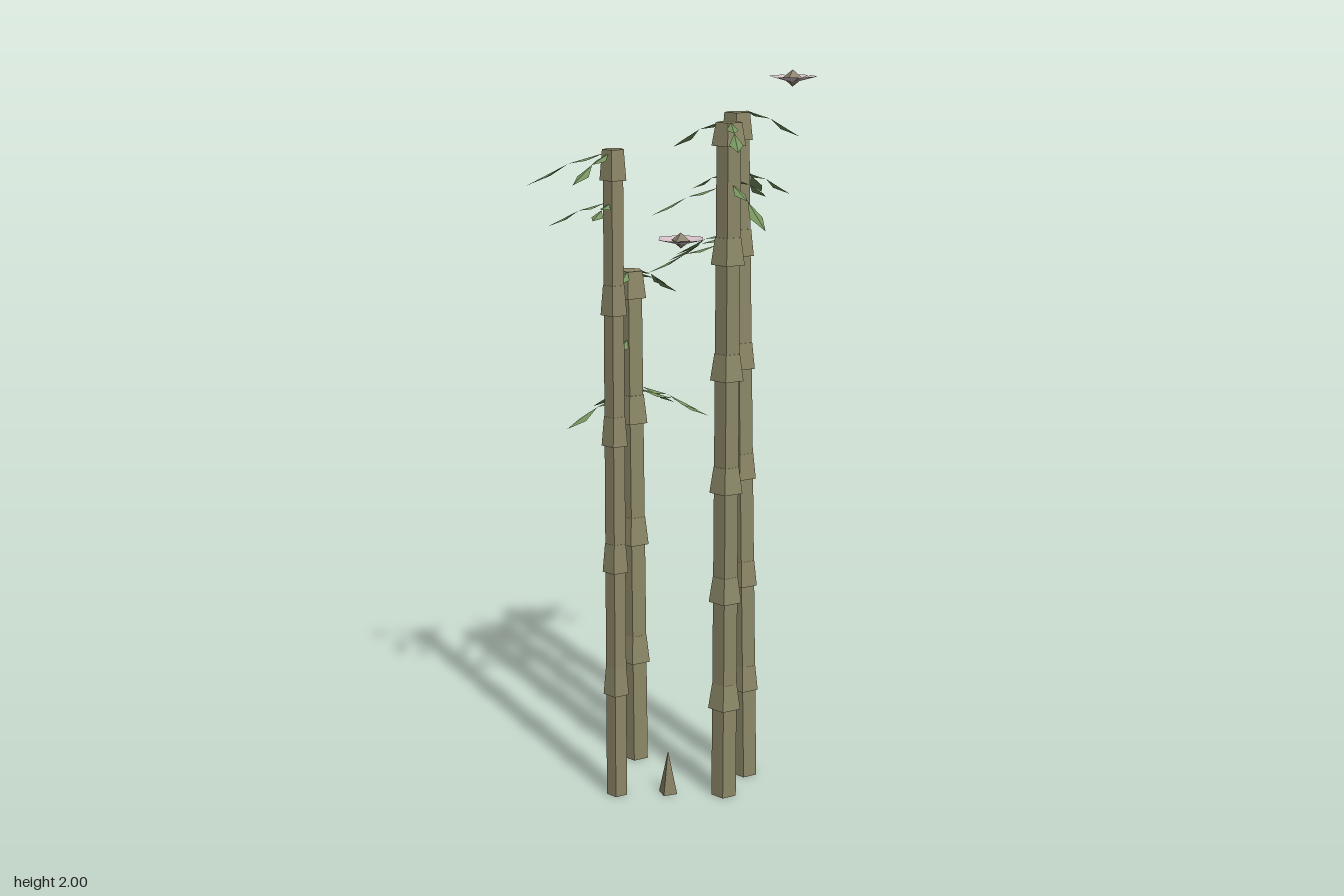
import * as THREE from 'three';

const mat = (color, side = THREE.FrontSide) => new THREE.MeshStandardMaterial({ color, side, flatShading: true });
const stalkMat = mat(0x8c8767);
const shootMat = mat(0x857f62);
const leafMat = mat(0x76935f, THREE.DoubleSide);
const petalMat = mat(0xd6c2c8, THREE.DoubleSide);
const coreMat = mat(0x8f8570);

const mesh = (name, geometry, material) => {
  const m = new THREE.Mesh(geometry, material);
  m.name = name;
  return m;
};

// Geometry from a list of triangle corners
const fromCorners = (corners) => {
  const g = new THREE.BufferGeometry().setFromPoints(corners);
  g.computeVertexNormals();
  return g;
};

// Drooping leaf: two creased diamonds joined at a narrow waist, growing along +x
function leaf(from, reach) {
  const drop = 0.42 * (reach - 0.02);
  const at = (t) => new THREE.Vector3(from + (reach - from) * t, -drop * t ** 1.4, 0);
  const corners = [];
  [[0, 0.46, 0.016], [0.46, 1, 0.018]].forEach(([t0, t1, halfWidth]) => {
    const a = at(t0), b = at(t1);
    const left = a.clone().lerp(b, 0.48);
    left.y -= 0.006;
    const right = left.clone();
    left.z -= halfWidth;
    right.z += halfWidth;
    corners.push(a, b, left, a, right, b);
  });
  return mesh('leaf', fromCorners(corners), leafMat);
}

// Five-sided cane with evenly spaced flared joints; lean shifts the top sideways
function cane(name, { x, z, r, flare, height, firstJoint, spacing, jointHeight, lean }, leaves) {
  const group = new THREE.Group();
  group.name = name;
  const part = (label, rTop, rBottom, y0, y1) => {
    const g = new THREE.CylinderGeometry(rTop, rBottom, y1 - y0, 5);
    g.rotateY(Math.PI / 2).translate(0, (y0 + y1) / 2, 0);
    const p = g.attributes.position;
    for (let i = 0; i < p.count; i++) p.setX(i, p.getX(i) + lean * p.getY(i) / height);
    g.computeVertexNormals();
    group.add(mesh(label, g, stalkMat));
  };
  part('shaft', r * 0.93, r, 0, height - 0.005);
  for (let y = firstJoint; y < height - 0.03; y += spacing) {
    part('joint', r, flare, y, Math.min(y + jointHeight, height));
  }
  // Leaves: height, heading in degrees from +x towards +z, reach
  leaves.forEach(([y, heading, reach]) => {
    const l = leaf(r * 0.75, reach);
    l.position.set(lean * y / height, y, 0);
    l.rotation.y = -THREE.MathUtils.degToRad(heading);
    group.add(l);
  });
  group.position.set(x, 0, z);
  return group;
}

// Six-petalled blossom with a faceted core
function flower(x, y, z, radius, turn, gap) {
  const group = new THREE.Group();
  group.name = 'flower';
  const corners = [];
  const at = (a, r, h) => new THREE.Vector3(Math.cos(a) * r, h, Math.sin(a) * r);
  for (let i = 0; i < 6; i++) {
    const a = turn + i * Math.PI / 3, b = a + Math.PI / 3 - gap;
    corners.push(at(0, 0, -0.012), at(b, radius, 0.005), at(a, radius, 0.005));
  }
  group.add(mesh('petals', fromCorners(corners), petalMat));
  const core = mesh('flowerCore', new THREE.OctahedronGeometry(0.028), coreMat);
  core.scale.y = 0.78;
  group.add(core);
  group.position.set(x, y, z);
  return group;
}

export function createModel() {
  const model = new THREE.Group();
  model.name = 'bambooGrove';

  // Canes: wide spacing on the left pair, tighter spacing on the right pair
  const wide = { firstJoint: 0.3, spacing: 0.355, jointHeight: 0.08 };
  const tight = { firstJoint: 0.26, spacing: 0.31, jointHeight: 0.072 };
  model.add(
    cane('shortCane', { ...wide, x: -0.18, z: -0.096, r: 0.038, flare: 0.048, height: 1.44, lean: -0.01 }, [
      [1.09, 209, 0.193], [1.09, 125, 0.204], [1.1, -36, 0.22], [1.11, -29, 0.188], [1.1, -68, 0.165],
      [1.25, 84, 0.19], [1.44, 79, 0.196], [1.44, -84, 0.204], [1.43, -77, 0.208],
    ]),
    cane('thinCane', { ...wide, x: -0.113, z: 0.162, r: 0.03, flare: 0.037, height: 1.805, lean: 0.003 }, [
      [1.79, 170, 0.239], [1.79, 99, 0.178], [1.66, 171, 0.182], [1.66, 95, 0.104], [1.72, 243, 0.182],
    ]),
    cane('frontCane', { ...tight, x: 0.16, z: 0.04, r: 0.036, flare: 0.047, height: 1.87, lean: 0.004 }, [
      [1.87, 59, 0.169], [1.87, 201, 0.208], [1.71, 44, 0.238], [1.7, 169, 0.208],
      [1.72, -75, 0.16], [1.7, 253, 0.167], [1.55, 174, 0.225],
    ]),
    cane('leaningCane', { ...tight, x: 0.157, z: -0.117, r: 0.036, flare: 0.043, height: 1.885, lean: -0.037 }, [
      [1.885, -59, 0.208], [1.73, 264, 0.224], [1.72, -64, 0.187], [1.72, 179, 0.134],
      [1.56, 189, 0.203], [1.55, 182, 0.216],
    ]),
  );

  // Floating blossoms
  model.add(flower(-0.015, 1.539, -0.05, 0.068, 0.12, 0));
  model.add(flower(0.292, 1.978, -0.075, 0.065, -0.08, 0.12));

  // Young shoots
  [[0.075, -0.18], [0.015, 0.1]].forEach(([x, z]) => {
    const shoot = mesh('shoot', new THREE.ConeGeometry(0.028, 0.125, 4), shootMat);
    shoot.position.set(x, 0.0625, z);
    model.add(shoot);
  });
  return model;
}
